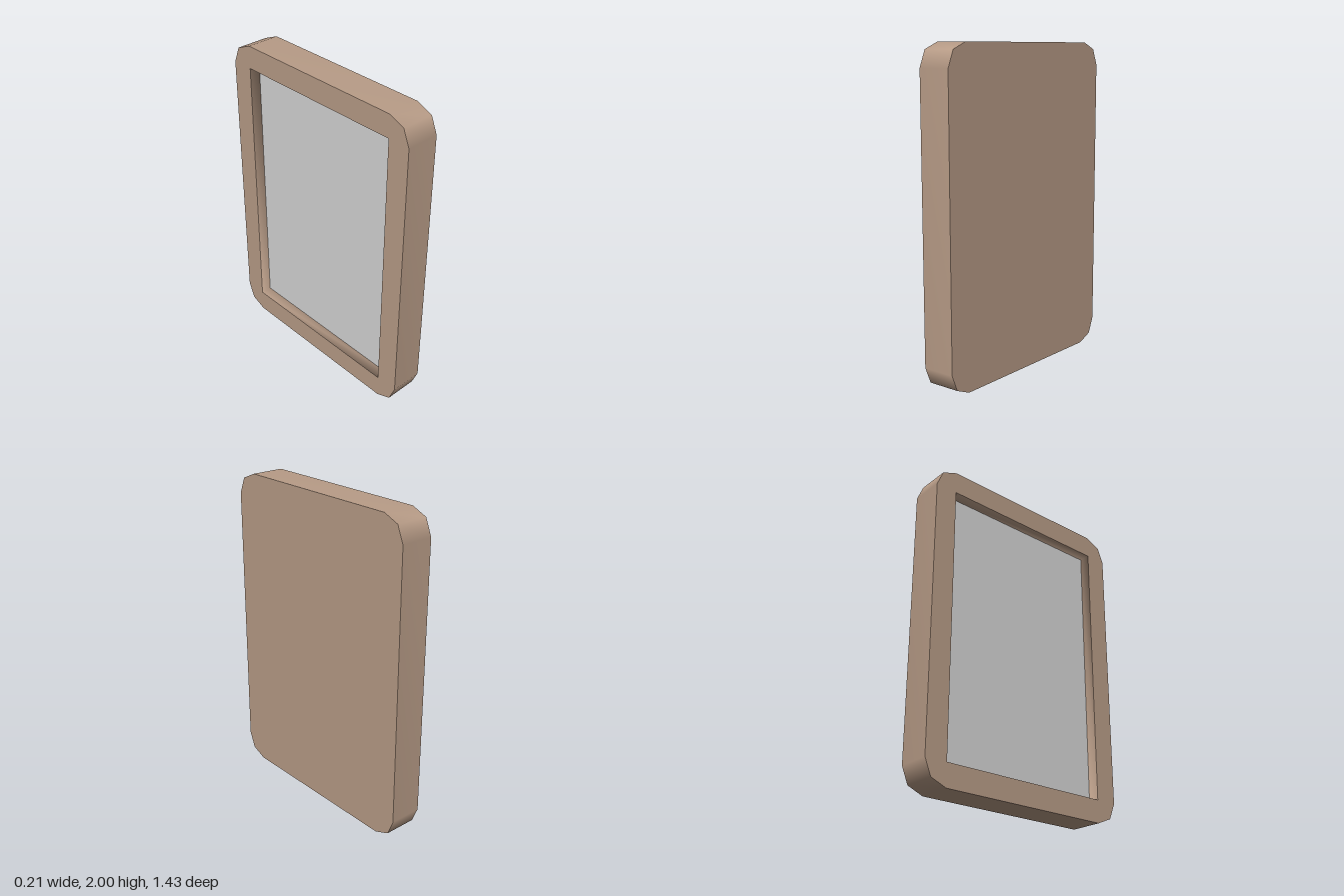
import * as THREE from 'three';

const HALF_X = 0.105, HALF_Z = 0.713, HALF_Y = 1, R = 0.143;
const PANEL_X = -0.035;

// Outline with corners bevelled in three facets, counter-clockwise
function roundedOutline(hw, hh, r) {
  const points = [];
  const corners = [[1, 1], [-1, 1], [-1, -1], [1, -1]];
  corners.forEach(([sx, sy], c) => {
    for (let i = 0; i <= 2; i++) {
      const a = (c + i / 2) * Math.PI / 2;
      points.push(new THREE.Vector2(sx * (hw - r) + r * Math.cos(a), sy * (hh - r) + r * Math.sin(a)));
    }
  });
  return points;
}

// Smooth wall following a closed outline between two x positions
function wall(points, x0, x1) {
  const positions = [], index = [], n = points.length;
  points.forEach((p, i) => {
    positions.push(p.x, p.y, x0, p.x, p.y, x1);
    const a = 2 * i, b = 2 * ((i + 1) % n);
    index.push(a, b, b + 1, a, b + 1, a + 1);
  });
  const geometry = new THREE.BufferGeometry();
  geometry.setAttribute('position', new THREE.Float32BufferAttribute(positions, 3));
  geometry.setIndex(index);
  geometry.computeVertexNormals();
  return geometry.rotateY(Math.PI / 2);
}

export function createModel() {
  const group = new THREE.Group();
  group.name = 'mirror';
  const wood = new THREE.MeshStandardMaterial({ name: 'wood', color: 0xb89c87 });
  const glass = new THREE.MeshStandardMaterial({ name: 'glass', color: 0xd4d4d4 });

  const add = (name, geometry, material) => {
    const mesh = new THREE.Mesh(geometry, material);
    mesh.name = name;
    mesh.position.y = HALF_Y;
    group.add(mesh);
  };

  const outer = roundedOutline(HALF_Z, HALF_Y, R);
  const iw = HALF_Z - R, ih = HALF_Y - R;
  const opening = [[iw, ih], [iw, -ih], [-iw, -ih], [-iw, ih]].map(([u, v]) => new THREE.Vector2(u, v));

  // Solid backing and outer edge
  add('backing', new THREE.ShapeGeometry(new THREE.Shape(outer)).rotateY(Math.PI / 2).translate(HALF_X, 0, 0), wood);
  add('outerEdge', wall(outer, -HALF_X, HALF_X), wood);

  // Frame border around the opening
  const border = new THREE.Shape(outer);
  border.holes.push(new THREE.Path(opening));
  add('frameBorder', new THREE.ShapeGeometry(border).rotateY(-Math.PI / 2).translate(-HALF_X, 0, 0), wood);

  // Recess walls and the glass set into them
  add('innerEdge', wall(opening, -HALF_X, PANEL_X), wood);
  add('glassPanel', new THREE.PlaneGeometry(2 * iw, 2 * ih).rotateY(-Math.PI / 2).translate(PANEL_X, 0, 0), glass);

  return group;
}
